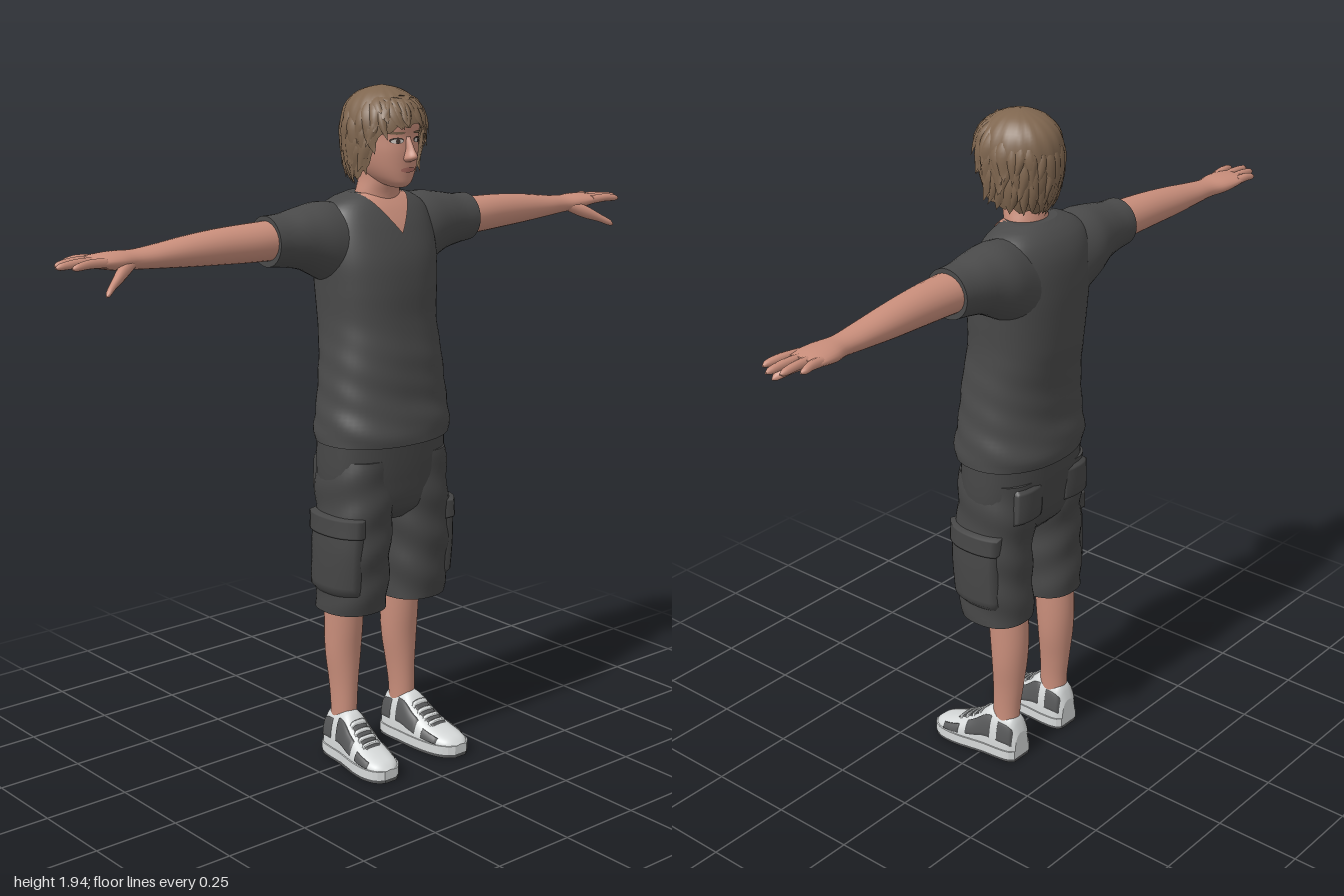
import * as THREE from 'three';
import { mergeGeometries } from 'three/addons/utils/BufferGeometryUtils.js';

const mat = (name, color) => Object.assign(new THREE.MeshStandardMaterial({ color, side: THREE.DoubleSide }), { name });

// Smooth interpolation of a table whose first column is the position along the part
function at(rows, p) {
  const last = rows.length - 1;
  p = Math.min(Math.max(p, rows[0][0]), rows[last][0]);
  let i = 0;
  while (i < last - 1 && p > rows[i + 1][0]) i++;
  const a = rows[i], b = rows[i + 1], h = b[0] - a[0], t = (p - a[0]) / h;
  const prev = rows[Math.max(i - 1, 0)], next = rows[Math.min(i + 2, last)];
  return a.map((_, c) => {
    const m0 = (b[c] - prev[c]) / (b[0] - prev[0]) * h, m1 = (next[c] - a[c]) / (next[0] - a[0]) * h;
    return (2 * t ** 3 - 3 * t * t + 1) * a[c] + (t ** 3 - 2 * t * t + t) * m0
      + (3 * t * t - 2 * t ** 3) * b[c] + (t ** 3 - t * t) * m1;
  });
}

// Surface from fn(u, v); wrap closes it around u, cap closes both ends
function grid(nu, nv, fn, { wrap = false, cap = false } = {}) {
  const pos = [], idx = [], w = wrap ? nu : nu + 1;
  for (let j = 0; j <= nv; j++) for (let i = 0; i < w; i++) pos.push(...fn(i / nu, j / nv));
  for (let j = 0; j < nv; j++) for (let i = 0; i < nu; i++) {
    const a = j * w + i, b = j * w + (i + 1) % w;
    idx.push(a, b, b + w, a, b + w, a + w);
  }
  if (cap) for (const j of [0, nv]) {
    const base = pos.length / 3, mid = [0, 0, 0];
    for (let i = 0; i < w; i++) {
      const p = fn(i / nu, j / nv);
      pos.push(...p);
      p.forEach((q, k) => { mid[k] += q / w; });
    }
    pos.push(...mid);
    for (let i = 0; i < w; i++) {
      const a = base + i, b = base + (i + 1) % w;
      idx.push(...(j ? [a, b, base + w] : [b, a, base + w]));
    }
  }
  const g = new THREE.BufferGeometry();
  g.setAttribute('position', new THREE.Float32BufferAttribute(pos, 3));
  g.setIndex(idx);
  g.computeVertexNormals();
  return g;
}

function mirrored(g) {
  const m = g.clone().scale(-1, 1, 1), x = m.index.array;
  for (let i = 0; i < x.length; i += 3) [x[i], x[i + 1]] = [x[i + 1], x[i]];
  m.computeVertexNormals();
  return m;
}

// Upright body rows: [y, cx, rx, zFront, zBack]; angle 0 faces the front
const pw = (s, n) => Math.sign(s) * Math.abs(s) ** (2 / n);
const upright = (rows, n = 2) => (a, y, off = 0) => {
  const [, cx, rx, zf, zb] = at(rows, y);
  return [cx + (rx + off) * pw(Math.sin(a), n), y, (zf + zb) / 2 + ((zf - zb) / 2 + off) * pw(Math.cos(a), n)];
};
const frontZ = (rows, n, x, y) => {
  const [, cx, rx, zf, zb] = at(rows, y);
  return (zf + zb) / 2 + (zf - zb) / 2 * Math.max(0, 1 - Math.abs((x - cx) / rx) ** n) ** (1 / n);
};
const loftY = (rows, n = 2, nu = 36, nv = 40, bump = () => 0) => {
  const f = upright(rows, n), y0 = rows[0][0], y1 = rows[rows.length - 1][0];
  return grid(nu, nv, (u, v) => {
    const a = u * Math.PI * 2, y = y0 + (y1 - y0) * v;
    return f(a, y, bump(a, y));
  }, { wrap: true, cap: true });
};
// Sideways limb rows: [x, cy, cz, ry, rz]
const loftX = (rows, nu = 24, nv = 24) => grid(nu, nv, (u, v) => {
  const [x, cy, cz, ry, rz] = at(rows, rows[0][0] + (rows[rows.length - 1][0] - rows[0][0]) * v);
  return [x, cy + ry * Math.cos(u * 2 * Math.PI), cz + rz * Math.sin(u * 2 * Math.PI)];
}, { wrap: true, cap: true });
// Raised panel lying on a surface f(a, p, offset), with its rim tucked in
const panel = (f, a0, a1, p0, p1, off, n = 14) => grid(n, n, (u, v) => {
  const rim = u === 0 || u === 1 || v === 0 || v === 1;
  return f(a0 + (a1 - a0) * u, p0 + (p1 - p0) * v, rim ? -0.002 : off);
});

export function createModel() {
  const model = new THREE.Group();
  const skin = mat('skin', 0xc98e7b), lip = mat('lips', 0xb06f64), eyeWhite = mat('eyeWhite', 0xc9c2bc);
  const iris = mat('iris', 0x3b2f2a), hair = mat('hair', 0x7f664f), shirt = mat('shirt', 0x4a4a4a);
  const shorts = mat('shorts', 0x464646), shoeLight = mat('shoeLight', 0xd6d9d9), shoeDark = mat('shoeDark', 0x565758);
  const add = (name, g, m) => {
    const mesh = new THREE.Mesh(g, m);
    mesh.name = name;
    model.add(mesh);
  };
  const pair = (name, g, m) => { add(name + 'Left', g, m); add(name + 'Right', mirrored(g), m); };

  // Shirt with loose folds towards the hem
  const torso = [[0.965, 0, 0.203, 0.138, -0.165], [1.0, 0, 0.205, 0.14, -0.17], [1.08, 0, 0.195, 0.124, -0.158],
    [1.2, 0, 0.183, 0.114, -0.16], [1.3, 0, 0.175, 0.102, -0.175], [1.4, 0, 0.18, 0.1, -0.183],
    [1.48, 0, 0.185, 0.09, -0.185], [1.56, 0, 0.182, 0.062, -0.178], [1.61, 0, 0.165, 0.035, -0.158],
    [1.64, 0, 0.12, 0.012, -0.13], [1.652, 0, 0.078, 0, -0.11]];
  add('shirtBody', loftY(torso, 2.3, 56, 60, (a, y) =>
    0.004 * Math.max(0, 1.35 - y) / 0.35 * Math.sin(3 * a + y * 45) * Math.sin(y * 30 + a)), shirt);
  pair('sleeve', loftX([[0.1, 1.5, -0.07, 0.125, 0.1], [0.18, 1.527, -0.072, 0.107, 0.098],
    [0.25, 1.54, -0.07, 0.085, 0.082], [0.31, 1.541, -0.07, 0.073, 0.072], [0.36, 1.543, -0.07, 0.069, 0.069]], 32), shirt);
  // Open V of the neckline
  add('neckline', grid(12, 14, (u, v) => {
    const y = 1.545 + 0.107 * v, w = Math.min(0.078 * v, at(torso, y)[2] * 0.97), x = (2 * u - 1) * w;
    return [x, y, frontZ(torso, 2.3, x, y) + 0.005];
  }), skin);

  // Shorts: hips, legs, cargo pockets and back pockets
  add('shortsHips', loftY([[0.73, 0, 0.13, 0.05, -0.09], [0.77, 0, 0.185, 0.088, -0.125],
    [0.86, 0, 0.2, 0.103, -0.143], [0.99, 0, 0.197, 0.11, -0.15]], 2.4), shorts);
  const leg = [[0.472, 0.111, 0.092, 0.08, -0.128], [0.56, 0.112, 0.096, 0.09, -0.125], [0.66, 0.112, 0.097, 0.098, -0.122],
    [0.74, 0.106, 0.098, 0.1, -0.125], [0.83, 0.1, 0.1, 0.1, -0.135], [0.92, 0.098, 0.095, 0.095, -0.135]];
  const legAt = upright(leg, 2.3);
  pair('shortsLeg', loftY(leg, 2.3, 36, 40, (a, y) => 0.003 * Math.sin(2 * a + y * 50)), shorts);
  pair('cargoPocket', panel(legAt, 0.45, 2.3, 0.53, 0.74, 0.011), shorts);
  pair('pocketFlap', panel(legAt, 0.4, 2.35, 0.705, 0.765, 0.017), shorts);
  pair('backPocket', panel(legAt, 2.6, 3.6, 0.8, 0.91, 0.012), shorts);

  // Bare lower legs
  pair('lowerLeg', loftY([[0.08, 0.112, 0.036, -0.015, -0.098], [0.16, 0.111, 0.036, -0.014, -0.1],
    [0.23, 0.109, 0.041, -0.014, -0.108], [0.32, 0.107, 0.052, -0.012, -0.118],
    [0.4, 0.106, 0.055, -0.005, -0.122], [0.52, 0.106, 0.055, 0.005, -0.118]], 2, 28, 24), skin);

  // Arms and hands
  pair('arm', loftX([[0.3, 1.545, -0.07, 0.055, 0.062], [0.4, 1.545, -0.07, 0.053, 0.058], [0.5, 1.545, -0.075, 0.049, 0.052],
    [0.6, 1.543, -0.08, 0.042, 0.047], [0.7, 1.54, -0.083, 0.032, 0.041], [0.77, 1.539, -0.086, 0.026, 0.037],
    [0.82, 1.541, -0.09, 0.025, 0.049], [0.87, 1.544, -0.092, 0.019, 0.053], [0.905, 1.545, -0.092, 0.012, 0.048]], 24, 50), skin);
  [[-0.053, -0.04, 0.975], [-0.079, -0.076, 1], [-0.105, -0.108, 0.985], [-0.129, -0.138, 0.948]].forEach(([z0, z1, tip], i) =>
    pair('finger' + (i + 1), loftX([[0.87, 1.545, z0, 0.013, 0.013], [(0.87 + tip) / 2, 1.548, (z0 + z1) / 2, 0.012, 0.012],
      [tip - 0.012, 1.545, z1, 0.009, 0.009], [tip, 1.543, z1, 0.003, 0.003]], 10, 12), skin));
  pair('thumb', loftX([[0.78, 1.535, -0.07, 0.016, 0.018], [0.83, 1.515, -0.045, 0.02, 0.02], [0.87, 1.495, -0.02, 0.013, 0.014],
    [0.9, 1.478, 0, 0.009, 0.01], [0.908, 1.473, 0.004, 0.003, 0.003]], 12, 16), skin);

  // Neck and head
  add('neck', loftY([[1.6, 0, 0.075, 0.02, -0.1], [1.65, 0, 0.066, 0.022, -0.092], [1.69, 0, 0.058, 0.034, -0.085],
    [1.75, 0, 0.058, 0.04, -0.085]], 2, 28, 16), skin);
  const head = [[1.672, 0, 0.02, 0.076, 0.03], [1.682, 0, 0.036, 0.088, -0.02], [1.7, 0, 0.054, 0.092, -0.06],
    [1.73, 0, 0.07, 0.095, -0.09], [1.77, 0, 0.08, 0.097, -0.105], [1.81, 0, 0.084, 0.095, -0.115],
    [1.85, 0, 0.085, 0.098, -0.12], [1.9, 0, 0.065, 0.07, -0.095], [1.92, 0, 0.03, 0.03, -0.05]];
  add('head', loftY(head, 2.2, 40, 40), skin);
  add('nose', loftY([[1.742, 0, 0.01, 0.1, 0.07], [1.75, 0, 0.017, 0.122, 0.07], [1.758, 0, 0.016, 0.129, 0.07],
    [1.775, 0, 0.011, 0.119, 0.07], [1.81, 0, 0.008, 0.1, 0.07]], 2, 16, 16), skin);
  const disc = (cx, cy, w, h, off) => grid(4, 20, (u, v) => {
    const x = cx + u * w * Math.cos(v * 2 * Math.PI), y = cy + u * h * Math.sin(v * 2 * Math.PI);
    return [x, y, frontZ(head, 2.2, x, y) + off];
  });
  pair('eyelid', disc(0.035, 1.801, 0.019, 0.008, 0.002), iris);
  pair('eye', disc(0.035, 1.799, 0.016, 0.006, 0.004), eyeWhite);
  pair('iris', disc(0.035, 1.799, 0.006, 0.006, 0.006), iris);
  pair('eyebrow', disc(0.036, 1.821, 0.022, 0.004, 0.003), hair);
  add('mouth', disc(0, 1.721, 0.025, 0.007, 0.003), lip);

  // Hair: ridged cap plus layered hanging locks
  const hairRows = [[1.66, 0, 0.08, 0.09, -0.09], [1.7, 0, 0.094, 0.1, -0.112], [1.75, 0, 0.102, 0.106, -0.127],
    [1.8, 0, 0.107, 0.112, -0.134], [1.85, 0, 0.107, 0.111, -0.135], [1.89, 0, 0.095, 0.093, -0.122],
    [1.92, 0, 0.068, 0.06, -0.092], [1.935, 0, 0.038, 0.025, -0.055], [1.942, 0, 0.002, -0.014, -0.018]];
  const edge = [[0, 1.842], [0.5, 1.832], [0.9, 1.802], [1.25, 1.72], [2, 1.692], [Math.PI, 1.675]];
  const edgeY = a => at(edge, Math.abs(Math.atan2(Math.sin(a), Math.cos(a))))[1];
  const hairAt = upright(hairRows);
  add('hairCap', grid(72, 28, (u, v) => {
    const a = u * 2 * Math.PI, y0 = edgeY(a) + 0.006 * Math.sin(a * 13);
    const y = y0 + (1.942 - y0) * Math.sin(v * Math.PI / 2);
    return hairAt(a, y, 0.0025 * Math.sin(a * 18 + y * 40) * Math.cos(v * Math.PI / 2));
  }, { wrap: true }), hair);
  let seed = 7;
  const rnd = () => (seed = (seed * 16807) % 2147483647) / 2147483647;
  const locks = [];
  for (let k = 0; k < 96; k++) {
    const a0 = (k % 32) / 32 * 2 * Math.PI + (rnd() - 0.5) * 0.15, tier = Math.floor(k / 32);
    const end = edgeY(a0) - 0.018 + tier * 0.04 + rnd() * 0.018, start = Math.min(end + 0.1, 1.915);
    const sway = (rnd() - 0.5) * 0.45, wide = 0.26 + rnd() * 0.16, flick = 0.004 + rnd() * 0.01;
    locks.push(grid(4, 8, (u, v) => {
      const s = 1 - v, q = 2 * u - 1;
      const w = wide * (1 - s ** 2.5) * Math.min(1, 0.4 + s * 3);
      return hairAt(a0 + sway * s * s + q * w / 2, start + (end - start) * s,
        0.008 * (1 - q * q) * Math.sin(Math.PI * Math.min(1, s + 0.1)) + flick * s ** 3 - 0.002 * (1 - s));
    }));
  }
  add('hairLocks', mergeGeometries(locks), hair);

  // Trainers: rows along the foot [z, cx, halfWidth, top]
  const foot = [[-0.115, 0.112, 0.03, 0.09], [-0.1, 0.112, 0.043, 0.135], [-0.06, 0.113, 0.05, 0.15], [-0.01, 0.116, 0.052, 0.148],
    [0.03, 0.12, 0.056, 0.113], [0.08, 0.126, 0.059, 0.083], [0.13, 0.131, 0.055, 0.064], [0.165, 0.134, 0.04, 0.052], [0.182, 0.135, 0.018, 0.038]];
  const shoeAt = (u, z, off = 0) => {
    const [, cx, hw, top] = at(foot, z);
    return [cx + (hw + off) * pw(Math.cos(u * Math.PI), 2.5), 0.025 + (top - 0.025 + off) * pw(Math.sin(u * Math.PI), 2.5), z];
  };
  pair('shoeUpper', grid(28, 36, (u, v) => shoeAt(u, -0.115 + 0.297 * v), { cap: true }), shoeLight);
  const sole = (y0, y1, grow) => {
    const side = t => { const [z, cx, hw] = at(foot, -0.115 + 0.297 * t); return [z, cx, hw + grow]; };
    const outline = [];
    for (let i = 0; i <= 24; i++) { const [z, cx, hw] = side(i / 24); outline.push(new THREE.Vector2(cx + hw, -z)); }
    for (let i = 24; i >= 0; i--) { const [z, cx, hw] = side(i / 24); outline.push(new THREE.Vector2(cx - hw, -z)); }
    const g = new THREE.ExtrudeGeometry(new THREE.Shape(outline), { depth: y1 - y0, bevelEnabled: false });
    g.rotateX(-Math.PI / 2).translate(0, y0, 0);
    g.setIndex([...Array(g.attributes.position.count).keys()]);
    return g;
  };
  pair('shoeTread', sole(0, 0.01, 0.002), shoeDark);
  pair('shoeMidsole', sole(0.01, 0.036, 0.004), shoeLight);
  for (const flip of [0, 1]) {
    const s = u => (flip ? 1 - u : u), span = (a, b) => [Math.min(s(a), s(b)), Math.max(s(a), s(b))];
    const name = flip ? 'Inner' : 'Outer';
    pair('shoeSidePanel' + name, panel(shoeAt, ...span(0.06, 0.3), -0.035, 0.055, 0.003), shoeDark);
    pair('shoeToePanel' + name, panel(shoeAt, ...span(0.06, 0.24), 0.075, 0.135, 0.003), shoeDark);
    pair('shoeHeelPanel' + name, panel(shoeAt, ...span(0.06, 0.26), -0.108, -0.055, 0.003), shoeDark);
  }
  pair('shoeTongue', panel(shoeAt, 0.38, 0.62, 0.01, 0.1, 0.003), shoeDark);
  for (let i = 0; i < 4; i++) pair('lace' + (i + 1), panel(shoeAt, 0.34, 0.66, 0.014 + i * 0.022, 0.025 + i * 0.022, 0.007, 6), shoeLight);
  return model;
}
